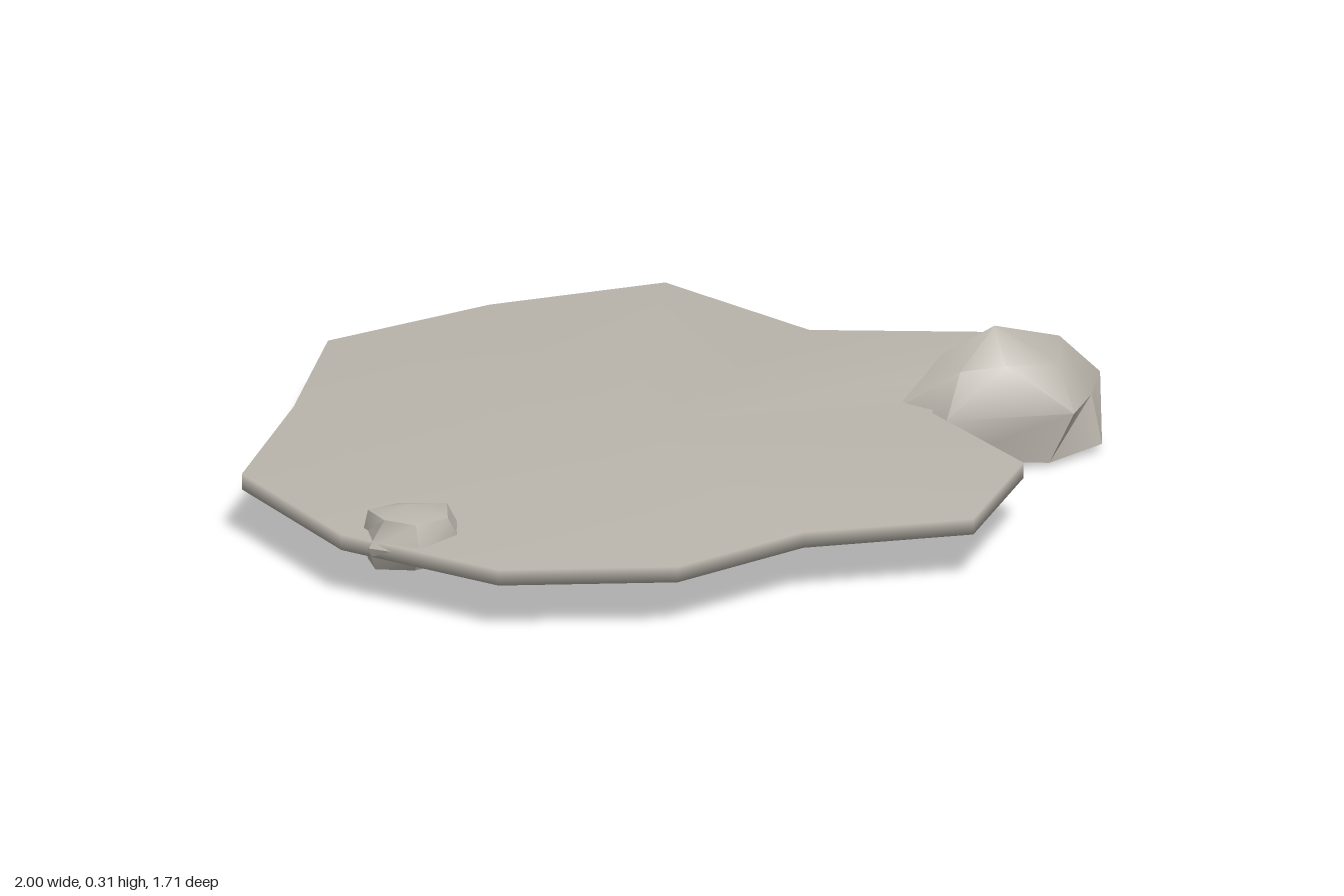
import * as THREE from 'three';
import { mergeVertices, toCreasedNormals } from 'three/addons/utils/BufferGeometryUtils.js';

const stone = new THREE.MeshStandardMaterial({ color: 0xbab5ac });
stone.name = 'stone';

// Irregular plan of the slab as x, z corners, clockwise seen from above
const outline = [
  [0.19, -0.855], [0.43, -0.495], [0.88, -0.37], [0.74, -0.17], [0.57, 0.06],
  [0.695, 0.41], [0.505, 0.72], [0.12, 0.71], [-0.2, 0.85], [-0.59, 0.775],
  [-0.875, 0.48], [-1, 0.065], [-0.79, -0.31], [-0.62, -0.685], [-0.22, -0.815],
];

// Closed skin over rings of points (top to bottom) between two poles.
// Rings run clockwise seen from above.
function ringSolid(top, rings, bottom) {
  const n = rings[0].length;
  const points = [top, ...rings.flat(), bottom];
  const at = (r, i) => 1 + r * n + (i % n);
  const last = points.length - 1;
  const index = [];
  for (let i = 0; i < n; i++) {
    index.push(at(0, i + 1), at(0, i), 0);
    for (let r = 0; r < rings.length - 1; r++) {
      index.push(at(r + 1, i + 1), at(r + 1, i), at(r, i));
      index.push(at(r + 1, i + 1), at(r, i), at(r, i + 1));
    }
    index.push(last, at(rings.length - 1, i), at(rings.length - 1, i + 1));
  }
  const geometry = new THREE.BufferGeometry();
  geometry.setAttribute('position', new THREE.Float32BufferAttribute(points.flat(), 3));
  geometry.setIndex(index);
  return geometry;
}

function addPart(group, name, geometry) {
  const mesh = new THREE.Mesh(geometry, stone);
  mesh.name = name;
  group.add(mesh);
}

export function createModel() {
  const group = new THREE.Group();
  group.name = 'stoneSlabWithRocks';

  // Thin slab with softened rim normals
  const level = (y) => outline.map(([x, z]) => [x, y, z]);
  const slab = mergeVertices(
    ringSolid([-0.1, 0.155, 0], [level(0.155), level(0.118)], [-0.1, 0.118, 0]));
  slab.computeVertexNormals();
  addPart(group, 'slab', slab);

  // Large rock with a notch between its two right-hand tips
  const large = ringSolid([0.735, 0.315, -0.02], [
    [[0.62, 0.25, -0.04], [0.735, 0.25, -0.125], [0.9, 0.25, -0.09],
      [0.87, 0.23, 0.03], [0.74, 0.25, 0.065], [0.64, 0.24, 0.05]],
    [[0.51, 0.14, -0.015], [0.735, 0.14, -0.175], [1.0, 0.145, -0.12],
      [0.955, 0.135, -0.015], [0.885, 0.14, 0.108], [0.6, 0.14, 0.085]],
    [[0.55, 0.02, 0], [0.72, 0.03, -0.1], [0.9, 0.03, -0.08],
      [0.975, 0.02, 0], [0.84, 0.01, 0.06], [0.6, 0.04, 0.07]],
  ], [0.75, 0, -0.02]);
  addPart(group, 'largeRock', toCreasedNormals(large, 0.7));

  // Small rock at the opposite edge
  const small = ringSolid([-0.73, 0.22, 0.5], [
    [[-0.81, 0.2, 0.46], [-0.73, 0.19, 0.41], [-0.63, 0.2, 0.46],
      [-0.65, 0.2, 0.55], [-0.73, 0.2, 0.58], [-0.79, 0.2, 0.53]],
    [[-0.82, 0.14, 0.45], [-0.73, 0.14, 0.38], [-0.6, 0.14, 0.46],
      [-0.62, 0.14, 0.54], [-0.73, 0.14, 0.615], [-0.828, 0.14, 0.54]],
    [[-0.81, 0.085, 0.46], [-0.73, 0.09, 0.41], [-0.63, 0.085, 0.46],
      [-0.64, 0.085, 0.53], [-0.73, 0.09, 0.57], [-0.81, 0.085, 0.53]],
  ], [-0.73, 0.078, 0.49]);
  addPart(group, 'smallRock', toCreasedNormals(small, 0.7));

  return group;
}
